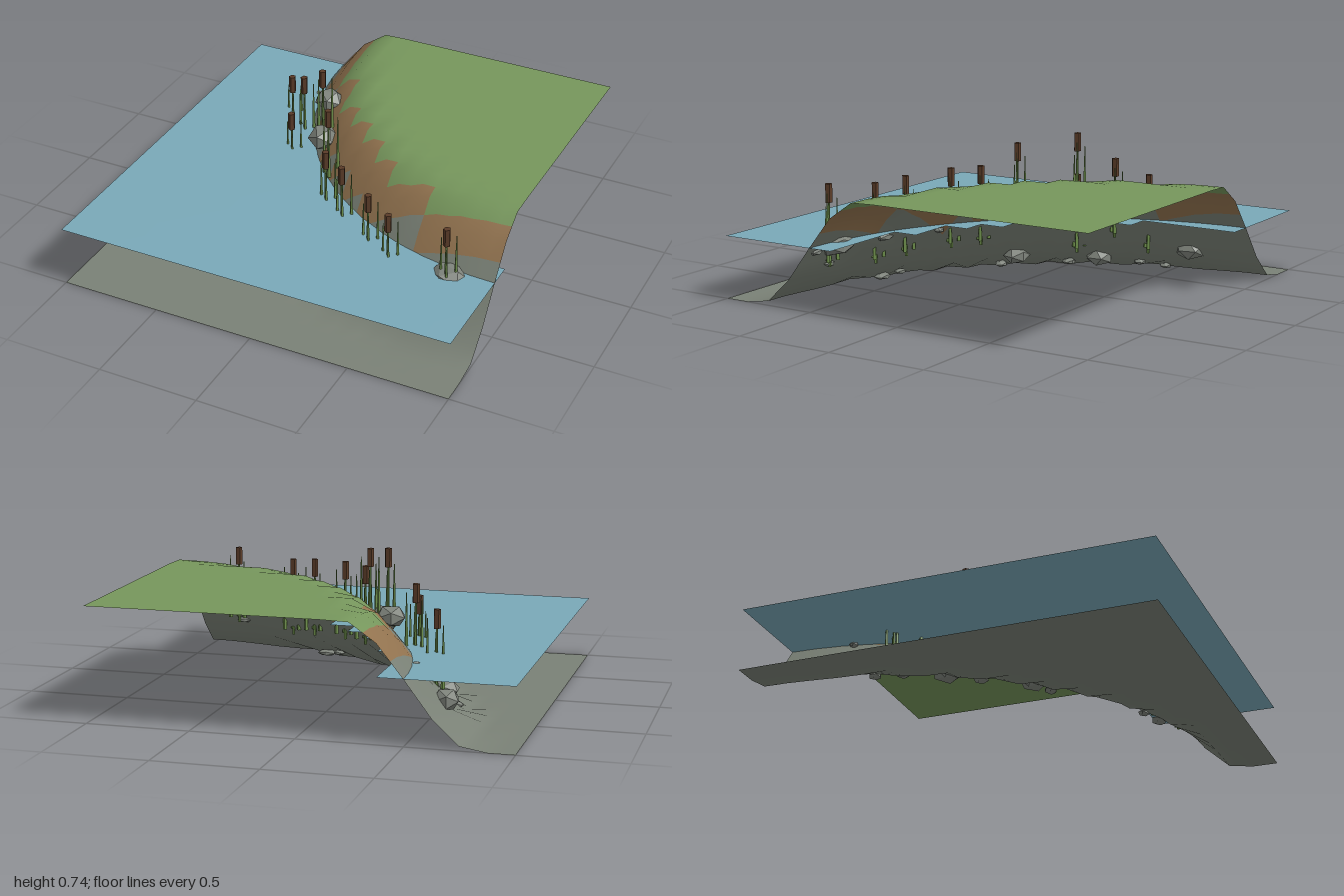
import * as THREE from 'three';

const mat = (name, color, extra = {}) => {
  const m = new THREE.MeshStandardMaterial({ color, ...extra });
  m.name = name;
  return m;
};

// Bank height: an S-shaped slope around the back left corner
const radius = (x, z) => Math.hypot(x - 1, z + 1);
const height = (x, z) => {
  const t = THREE.MathUtils.clamp((1.82 - radius(x, z)) / 0.6, 0, 1);
  return 0.55 * t * t * (3 - 2 * t);
};

// Terrain: coarse 16 x 16 surface, each triangle cut in four so colours change halfway along edges
function terrain(materials) {
  const N = 32;
  const geo = new THREE.PlaneGeometry(2, 2, N, N).rotateX(-Math.PI / 2);
  const pos = geo.attributes.position;
  const coord = (i) => -1 + (2 * i) / N;
  const ends = (i, j) => {
    const a = i % 2, b = j % 2;
    return a && b ? [[i + 1, j - 1], [i - 1, j + 1]] : [[i + a, j + b], [i - a, j - b]];
  };
  const band = ([i, j]) => {
    const r = radius(coord(i), coord(j));
    return r < 1.315 ? 0 : r < 1.46 ? 1 : 2;
  };
  for (let j = 0; j <= N; j++) for (let i = 0; i <= N; i++) {
    const [p, q] = ends(i, j);
    pos.setY(j * (N + 1) + i, (height(coord(p[0]), coord(p[1])) + height(coord(q[0]), coord(q[1]))) / 2);
  }
  geo.computeVertexNormals();
  const lists = [[], [], []];
  const src = geo.index.array;
  for (let f = 0; f < src.length; f += 3) {
    const tri = [src[f], src[f + 1], src[f + 2]];
    const cells = tri.map((v) => [v % (N + 1), Math.floor(v / (N + 1))]);
    const corner = cells.find(([i, j]) => i % 2 === 0 && j % 2 === 0);
    const c = corner ? band(corner) : cells.flatMap(([i, j]) => ends(i, j)).map(band).sort()[3];
    lists[c].push(...tri);
  }
  geo.setIndex(lists.flat());
  let start = 0;
  lists.forEach((l, k) => {
    geo.addGroup(start, l.length, k);
    start += l.length;
  });
  return new THREE.Mesh(geo, materials);
}

// Water sheet: only the grid cells that reach past the shoreline
function water(material) {
  const N = 16, level = 0.306;
  const geo = new THREE.PlaneGeometry(2, 2, N, N).rotateX(-Math.PI / 2).translate(0, level, 0);
  const src = geo.index.array, keep = [];
  for (let c = 0; c < N * N; c++) {
    const x = -1 + (2 * (c % N)) / N, z = -1 + (2 * (Math.floor(c / N) + 1)) / N;
    if (height(x, z) < level) keep.push(...src.slice(c * 6, c * 6 + 6));
  }
  geo.setIndex(keep);
  return new THREE.Mesh(geo, material);
}

export function createModel() {
  const root = new THREE.Group();
  root.name = 'riverBank';
  const both = { side: THREE.DoubleSide };
  const grass = mat('grass green', 0x76965c, both);
  const earth = mat('earth brown', 0x92734f, both);
  const silt = mat('silt grey', 0x7a8176, both);
  const waterMat = mat('water blue', 0x7aa9b8, both);
  const stone = mat('stone grey', 0x7f847c, { flatShading: true });
  const leaf = mat('reed green', 0x6d8f4a, { flatShading: true });
  const cattail = mat('cattail brown', 0x5a3c28, { flatShading: true });

  const add = (parent, geo, material, name, x, y, z) => {
    const m = new THREE.Mesh(geo, material);
    m.name = name;
    m.position.set(x, y, z);
    parent.add(m);
    return m;
  };

  const bank = terrain([grass, earth, silt]);
  bank.name = 'bank';
  const sheet = water(waterMat);
  sheet.name = 'water';
  root.add(bank, sheet);

  // Rocks: x, y, z, width, height, depth
  const rocks = [
    [-0.2, 0.395, -0.16, 0.14, 0.12, 0.15],
    [-0.29, 0.455, -0.41, 0.14, 0.1, 0.15],
    [0.78, 0.285, 0.51, 0.19, 0.11, 0.15],
    [-0.61, 0.135, -0.64, 0.12, 0.1, 0.15],
    [-0.5, 0.065, -0.18, 0.14, 0.09, 0.14],
    [-0.22, 0.085, 0.14, 0.13, 0.085, 0.12],
    [0.22, 0.275, 0.31, 0.065, 0.03, 0.05],
    [0.49, 0.275, 0.44, 0.1, 0.04, 0.06],
    [0.92, 0.27, 0.52, 0.065, 0.03, 0.05],
    [0.76, 0.18, 0.57, 0.075, 0.03, 0.05],
    [0.23, 0.04, 0.54, 0.06, 0.025, 0.05],
    [0.31, 0.025, 0.59, 0.1, 0.03, 0.07],
    [-0.2, 0.035, 0.22, 0.08, 0.03, 0.06],
    [-0.43, 0.035, -0.04, 0.07, 0.03, 0.07],
    [-0.6, 0.04, -0.36, 0.06, 0.03, 0.06],
    [-0.67, 0.02, -0.47, 0.06, 0.025, 0.06],
    [-0.48, 0.3, -0.68, 0.04, 0.025, 0.045],
  ];
  const rockGeo = new THREE.IcosahedronGeometry(0.54, 0);
  rocks.forEach(([x, y, z, w, h, d], i) => {
    const rock = add(root, rockGeo, stone, 'rock', x, y, z);
    rock.scale.set(w, h, d);
    rock.rotation.y = 0.35 * Math.sin(i * 2.3);
  });

  // Cattail clumps: x, z, height of the head's top
  const clumps = [
    [-0.52, -0.45, 0.51], [-0.39, -0.33, 0.6], [-0.36, -0.13, 0.505], [-0.225, -0.21, 0.74],
    [-0.07, 0.04, 0.69], [0, 0.21, 0.57], [0.13, 0.3, 0.57], [0.33, 0.43, 0.55],
    [0.47, 0.51, 0.53], [0.78, 0.55, 0.57],
  ];
  const headGeo = new THREE.CylinderGeometry(0.018, 0.018, 0.09, 5);
  const blades = [[-0.035, -0.022, 0.3], [0.04, -0.022, 0.33], [0.008, 0.012, 0.26]];
  clumps.forEach(([x, z, top]) => {
    const clump = new THREE.Group();
    clump.name = 'cattailClump';
    const base = top - 0.4;
    clump.position.set(x, base, z);
    add(clump, new THREE.CylinderGeometry(0.005, 0.008, 0.33, 5), leaf, 'stem', 0, 0.165, 0);
    add(clump, headGeo, cattail, 'cattailHead', 0, 0.355, 0);
    blades.forEach(([bx, bz, h]) => {
      add(clump, new THREE.CylinderGeometry(0.002, 0.011, h, 4), leaf, 'reedBlade', bx, 0.03 + h / 2, bz);
    });
    root.add(clump);
  });
  return root;
}
